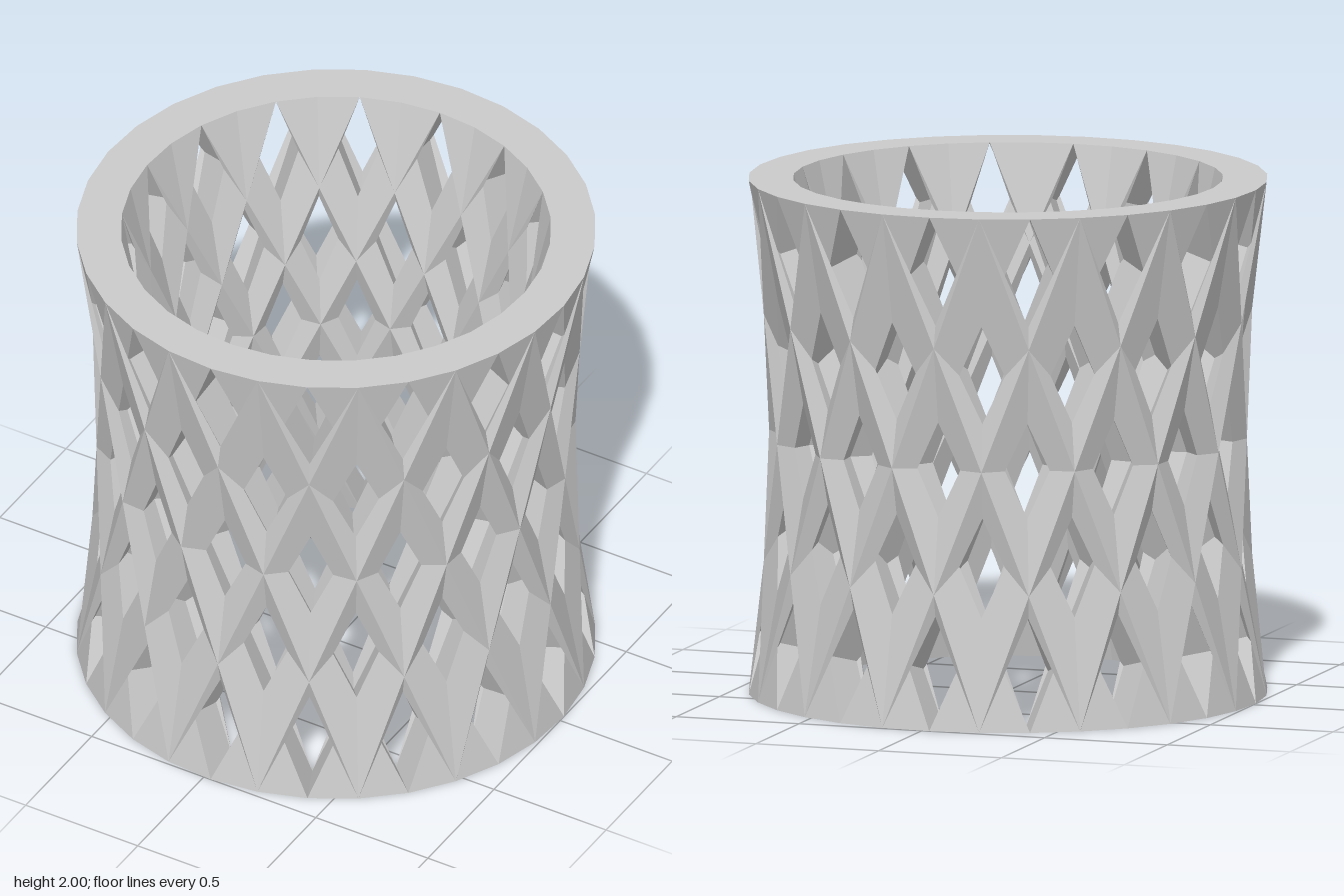
import * as THREE from 'three';

const COUNT = 16;                   // struts per winding direction
const STEP = Math.PI / COUNT;       // angular width of a strut
const TWIST = 5 * STEP;             // turn of a strut from bottom to top
const OFFSET = 0.03;                // rotation of the whole lattice
const OUTER = 1, INNER = 0.828, HEIGHT = 2;

// One slanted bar joining a ring sector at the bottom to a turned one at the top
function strutGeometry(dir) {
  const at = (r, angle, y) => [r * Math.sin(dir * angle), y, r * Math.cos(dir * angle)];
  // 0-3 bottom, 4-7 top; each: outer trailing, outer leading, inner trailing, inner leading
  const corners = [];
  for (const [turn, y] of [[0, 0], [TWIST, HEIGHT]])
    for (const r of [OUTER, INNER])
      for (const side of [0, STEP]) corners.push(at(r, turn + side, y));
  const faces = [
    [0, 1, 4], [1, 5, 4],           // outer face
    [2, 7, 3], [2, 6, 7],           // inner face
    [1, 3, 7], [1, 7, 5],           // leading wall
    [2, 0, 4], [2, 4, 6],           // trailing wall
    [0, 2, 3], [0, 3, 1],           // bottom cap
    [4, 5, 7], [4, 7, 6],           // top cap
  ];
  const positions = [];
  for (const [a, b, c] of faces)
    for (const i of dir > 0 ? [a, b, c] : [a, c, b]) positions.push(...corners[i]);
  const geometry = new THREE.BufferGeometry();
  geometry.setAttribute('position', new THREE.Float32BufferAttribute(positions, 3));
  geometry.computeVertexNormals();
  return geometry;
}

export function createModel() {
  const model = new THREE.Group();
  model.name = 'latticeCylinder';
  const material = new THREE.MeshStandardMaterial({ color: 0xcccccc, flatShading: true });

  // Two opposite windings whose caps interlock into full end rings
  for (const [dir, name] of [[1, 'leftLeaningStruts'], [-1, 'rightLeaningStruts']]) {
    const family = new THREE.Group();
    family.name = name;
    const geometry = strutGeometry(dir);
    for (let k = 0; k < COUNT; k++) {
      const strut = new THREE.Mesh(geometry, material);
      strut.name = 'strut';
      strut.rotation.y = OFFSET + 2 * k * STEP;
      family.add(strut);
    }
    model.add(family);
  }
  return model;
}
